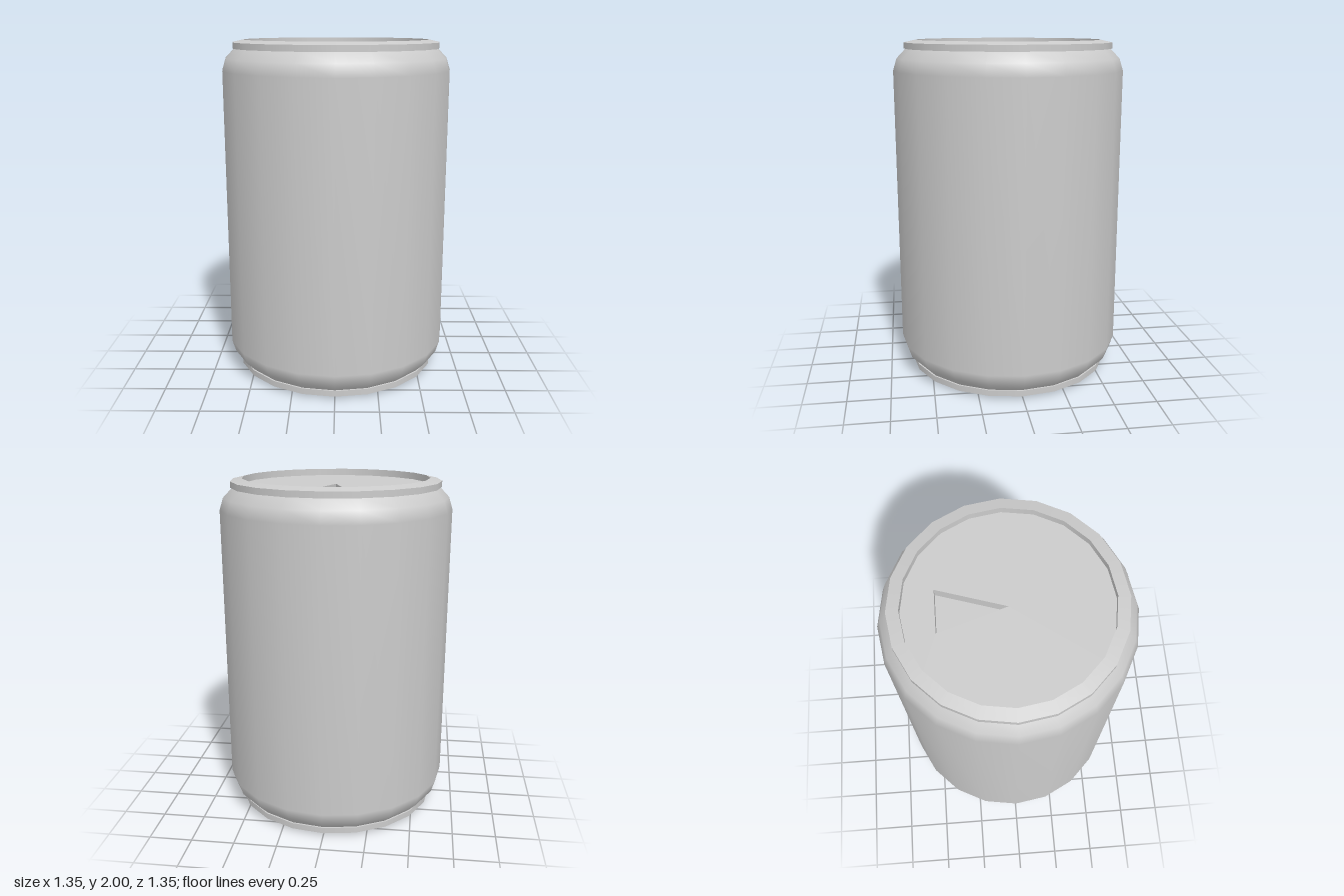
import * as THREE from 'three';
import { mergeGeometries } from 'three/addons/utils/BufferGeometryUtils.js';

const SIDES = 20;
const LID_Y = 1.96, HOLE_DEPTH = 0.06;
const material = new THREE.MeshStandardMaterial({ color: 0xcccccc });
const points = (list) => list.map(([x, y]) => new THREE.Vector2(x, y));

function add(parent, name, geometry) {
  const mesh = new THREE.Mesh(geometry, material);
  mesh.name = name;
  parent.add(mesh);
  return mesh;
}

// Smooth surface of revolution
const lathe = (profile) => new THREE.LatheGeometry(points(profile), SIDES);

// Revolved profile with a sharp edge at every profile point
function creasedLathe(profile) {
  return mergeGeometries(profile.slice(1).map((p, i) => lathe([profile[i], p])));
}

export function createModel() {
  const can = new THREE.Group();
  can.name = 'drinkCan';

  // Recessed base and its rim
  add(can, 'basePanel', lathe([[0, 0.04], [0.543, 0.04]]));
  add(can, 'bottomRim', creasedLathe([[0.543, 0.04], [0.543, 0], [0.61, 0.015], [0.61, 0.05], [0.6, 0.05]]));

  // Wall with rounded shoulders at both ends
  add(can, 'body', lathe([
    [0.6, 0.05], [0.653, 0.105], [0.675, 0.175],
    [0.675, 1.825], [0.653, 1.895], [0.6, 1.95],
  ]));

  // Top rim
  add(can, 'topRim', creasedLathe([[0.6, 1.95], [0.61, 1.95], [0.61, 1.985], [0.543, 2], [0.543, LID_Y]]));

  // Sunken lid with a triangular drinking hole
  const corners = points([[0, 0], [0.119, 0.368], [-0.119, 0.368]]);
  const outline = Array.from({ length: SIDES }, (_, i) => {
    const a = (i / SIDES) * Math.PI * 2;
    return new THREE.Vector2(Math.cos(a) * 0.543, Math.sin(a) * 0.543);
  });
  const lidShape = new THREE.Shape(outline);
  lidShape.holes.push(new THREE.Path(corners));
  add(can, 'lid', new THREE.ShapeGeometry(lidShape).rotateX(-Math.PI / 2)).position.y = LID_Y;

  // Floor and inward-facing walls of the hole
  const opening = new THREE.Group();
  opening.name = 'opening';
  can.add(opening);
  const floor = new THREE.ShapeGeometry(new THREE.Shape(corners)).rotateX(-Math.PI / 2);
  add(opening, 'openingFloor', floor).position.y = LID_Y - HOLE_DEPTH;
  corners.forEach((a, i) => {
    const b = corners[(i + 1) % corners.length];
    const wall = add(opening, 'openingWall', new THREE.PlaneGeometry(a.distanceTo(b), HOLE_DEPTH));
    wall.position.set((a.x + b.x) / 2, LID_Y - HOLE_DEPTH / 2, -(a.y + b.y) / 2);
    wall.rotation.y = Math.atan2(a.y - b.y, a.x - b.x);
  });

  return can;
}
